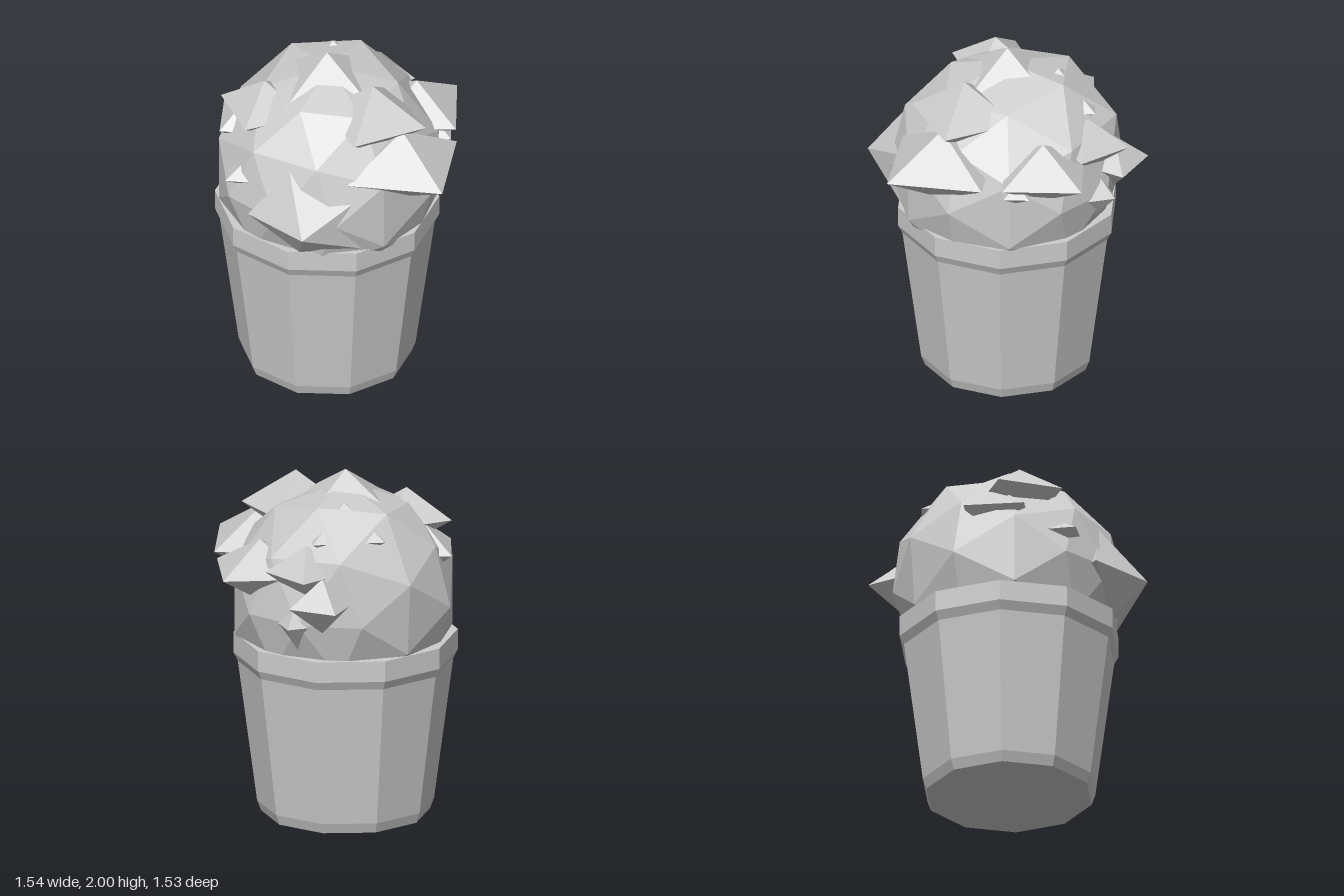
import * as THREE from 'three';
import { ConvexGeometry } from 'three/addons/geometries/ConvexGeometry.js';

const CX = -0.077, CZ = -0.158;

export function createModel() {
  const group = new THREE.Group();
  const grey = new THREE.MeshStandardMaterial({ color: 0xcccccc, flatShading: true });
  grey.name = 'plain grey';

  const add = (name, geometry, x = 0, y = 0, z = 0) => {
    const mesh = new THREE.Mesh(geometry, grey);
    mesh.name = name;
    mesh.position.set(x, y, z);
    group.add(mesh);
    return mesh;
  };

  // Ten-sided pot: outer wall, rim, inner wall and soil in one closed profile
  const profile = [
    [0, 0], [0.475, 0], [0.497, 0.06], [0.605, 0.88], [0.63, 0.93],
    [0.63, 1.05], [0.565, 1.05], [0.55, 0.92], [0, 0.92],
  ].map(([r, y]) => new THREE.Vector2(r, y));
  add('pot', new THREE.LatheGeometry(profile, 10, Math.PI / 2), CX, 0, CZ);

  // Faceted ball of foliage, swelling towards its upper back left
  const ball = new THREE.IcosahedronGeometry(0.65, 1).rotateY(0.5);
  const swell = new THREE.Vector3(0.35, 0.52, -0.43).normalize();
  const pos = ball.attributes.position;
  const v = new THREE.Vector3();
  for (let i = 0; i < pos.count; i++) {
    v.fromBufferAttribute(pos, i);
    const towards = Math.max(0, v.dot(swell) / v.length());
    v.multiplyScalar(1 + 0.15 * towards ** 5);
    pos.setXYZ(i, v.x, v.y, v.z);
  }
  add('foliageBall', ball, CX, 1.26, -0.14);

  // Flattened octahedra: centre x, y, z, half height, one corner's offset in x and z
  const clumps = [
    [0.08, 1.49, 0.37, 0.22, 0.02, 0.38],
    [-0.075, 1.79, -0.16, 0.21, 0.335, -0.08],
    [0.46, 1.49, -0.06, 0.18, 0.31, -0.06],
    [0.01, 1.72, 0.18, 0.21, 0.19, 0.25],
    [-0.41, 1.69, -0.29, 0.17, -0.225, 0.145],
    [-0.4, 1.54, -0.43, 0.17, -0.24, 0.03],
    [-0.6, 1.4, -0.15, 0.1, -0.17, 0.01],
    [0.11, 1.71, -0.38, 0.18, -0.07, -0.28],
    [0.4, 1.54, -0.4, 0.16, 0.155, -0.17],
    [0.41, 1.385, -0.56, 0.16, 0.06, -0.19],
    [0.38, 1.25, -0.36, 0.25, 0.1, 0.2],
    [0.48, 1.42, 0.13, 0.06, 0.1, -0.02],
  ];
  for (const [x, y, z, h, dx, dz] of clumps) {
    const r = Math.hypot(dx, dz);
    const geometry = new THREE.OctahedronGeometry(1).scale(r, h, r);
    geometry.rotateY(Math.atan2(-dz, dx));
    add('leafClump', geometry, x, y, z);
  }

  // Large tilted clump at the front right corner of the plant
  const corners = [
    [-0.725, 1.25, 0.02], [-0.625, 1.25, 0.42], [-0.535, 1.54, 0.157],
    [-0.17, 1.43, 0.43], [-0.16, 1.03, 0.43], [-0.53, 1.05, 0.25], [-0.3, 1.25, 0],
  ].map((p) => new THREE.Vector3(...p));
  add('cornerLeafClump', new ConvexGeometry(corners));

  return group;
}
